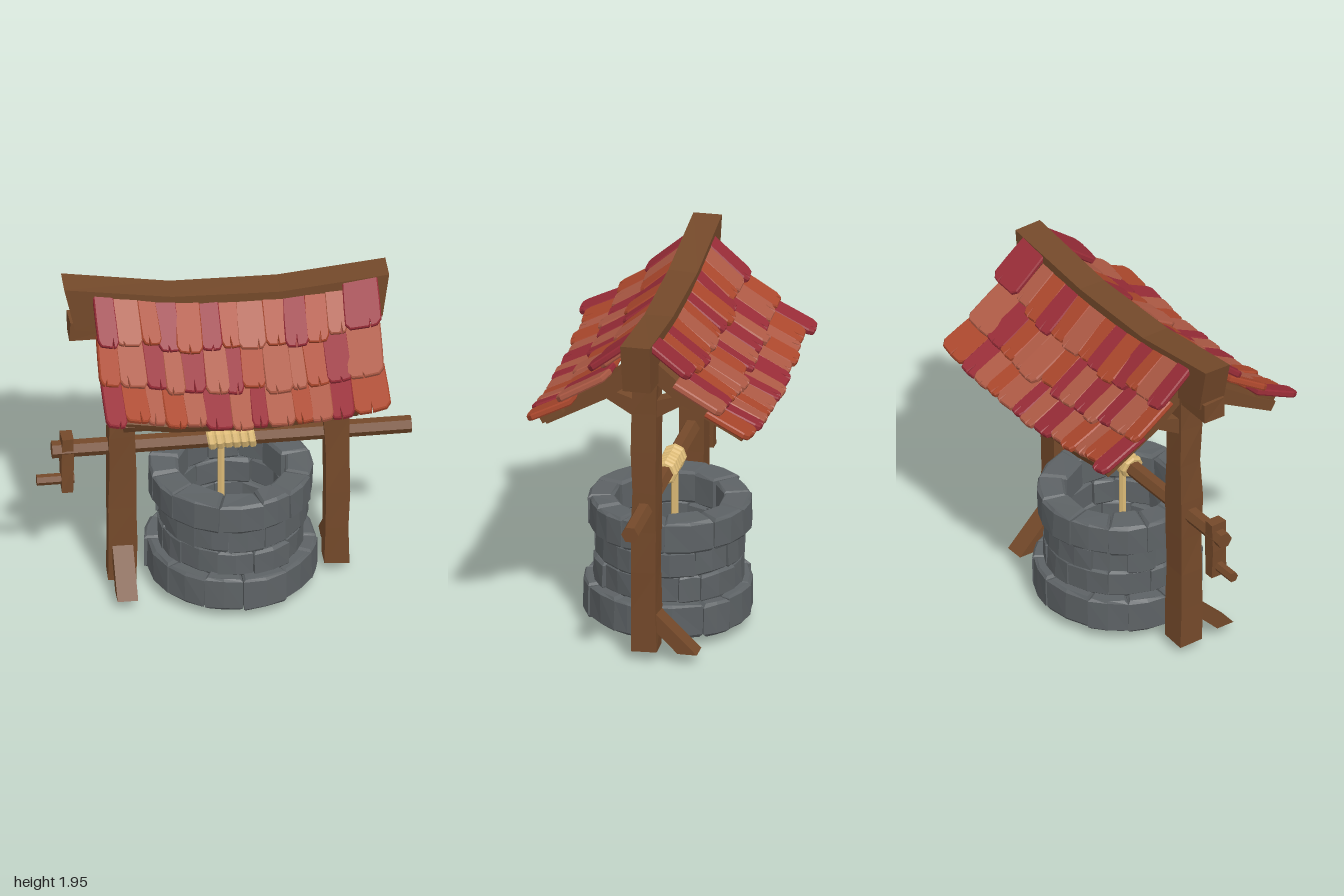
import * as THREE from 'three';

const mat = (name, color) => {
  const m = new THREE.MeshStandardMaterial({ color });
  m.name = name;
  return m;
};

// Seeded random in [-1, 1]
let seed = 7;
const rnd = () => {
  seed = (seed * 16807) % 2147483647;
  return (seed / 2147483647) * 2 - 1;
};
// Repeatable noise by position, so shared corners stay joined
const noise = (x, y, z, k) => {
  const s = Math.sin(Math.round(x * 500) * 12.99 + Math.round(y * 500) * 78.23 + Math.round(z * 500) * 37.72 + k * 5.1) * 43758.55;
  return (s - Math.floor(s)) * 2 - 1;
};

// Faceted normals
const flat = (geo) => {
  const g = geo.index ? geo.toNonIndexed() : geo;
  g.computeVertexNormals();
  return g;
};

// Move every vertex by a rule
function warp(geo, rule) {
  const p = geo.attributes.position;
  const v = new THREE.Vector3();
  for (let i = 0; i < p.count; i++) {
    v.fromBufferAttribute(p, i);
    rule(v);
    p.setXYZ(i, v.x, v.y, v.z);
  }
  return geo;
}

// Copy of a flat geometry reflected in z, with its winding restored
function mirrorZ(geo) {
  const g = geo.clone().scale(1, 1, -1);
  const p = g.attributes.position;
  const a = new THREE.Vector3(), b = new THREE.Vector3();
  for (let i = 0; i < p.count; i += 3) {
    a.fromBufferAttribute(p, i + 1);
    b.fromBufferAttribute(p, i + 2);
    p.setXYZ(i + 1, b.x, b.y, b.z);
    p.setXYZ(i + 2, a.x, a.y, a.z);
  }
  g.computeVertexNormals();
  return g;
}

// Add uneven corners
const roughen = (geo, amount) => warp(geo, (v) => {
  const { x, y, z } = v;
  v.x += noise(x, y, z, 1) * amount;
  v.y += noise(x, y, z, 2) * amount;
  v.z += noise(x, y, z, 3) * amount;
});

// Roughly hewn beam
const hewn = (w, h, d, sx, sy, amount = 0.006) => roughen(new THREE.BoxGeometry(w, h, d, sx, sy, 1), amount);

// Bar with a constant outline in the z-y plane, spanning x0..x1
function sideBar(points, x0, x1) {
  const shape = new THREE.Shape(points.map(([z, y]) => new THREE.Vector2(-z, y)));
  const g = new THREE.ExtrudeGeometry(shape, { depth: x1 - x0, bevelEnabled: false });
  return g.rotateY(Math.PI / 2).translate(x0, 0, 0);
}

// Wall stone: a bevelled ring sector
function stone(r0, r1, a0, a1, h) {
  const b = 0.014, pts = [];
  const arc = (r, from, to, n) => {
    for (let i = 0; i <= n; i++) {
      const a = from + ((to - from) * i) / n;
      pts.push(new THREE.Vector2(Math.cos(a) * r, Math.sin(a) * r));
    }
  };
  const gap = 0.015 / r1, gapIn = 0.015 / r0;
  arc(r1 - b, a0 + gap, a1 - gap, 2);
  arc(r0 + b, a1 - gapIn, a0 + gapIn, 1);
  const g = new THREE.ExtrudeGeometry(new THREE.Shape(pts), {
    depth: h - 2 * b, bevelSize: b, bevelThickness: b, bevelSegments: 1,
  });
  return roughen(g.translate(0, 0, b).rotateX(-Math.PI / 2), 0.004);
}

// Roof sags towards the middle, and its left end stands higher
const sag = (x) => 0.1 * ((x - 0.15) / 0.85) ** 2;

// Chipped shingle hanging down from its top edge
function shingle(w, len) {
  const t = w * 0.48, e = w * 0.5, n = rnd() * 0.25 * w;
  const low = -len + rnd() * 0.012;
  const pts = [[-t, 0], [-e, low * 0.5], [-e, low + 0.03], [-e * 0.75, low + 0.004],
    [n - 0.008, low], [n + rnd() * 0.006, low + 0.045 + rnd() * 0.025], [n + 0.008, low],
    [e * 0.75, low + 0.004], [e, low + 0.03], [e, low * 0.5], [t, 0]];
  return new THREE.ExtrudeGeometry(new THREE.Shape(pts.map(([x, y]) => new THREE.Vector2(x, y))), {
    depth: 0.02, bevelSize: 0.006, bevelThickness: 0.008, bevelSegments: 1,
  });
}

export function createModel() {
  seed = 7;
  const wood = mat('wood', 0x74492a);
  const grey = mat('stone', 0x5d6265);
  const rope = mat('rope', 0xdcba76);
  const tiles = { C: mat('crimson tile', 0x982c37), O: mat('orange tile', 0xab472c), K: mat('coral tile', 0xae5a45) };

  const model = new THREE.Group();
  model.name = 'well';
  const group = (name) => {
    const g = new THREE.Group();
    g.name = name;
    model.add(g);
    return g;
  };
  const add = (parent, name, geo, material) => {
    const m = new THREE.Mesh(flat(geo), material);
    m.name = name;
    parent.add(m);
  };

  // Stone wall: four courses of uneven blocks
  const wall = group('stoneWall');
  [[0.06, 0.19, 0.453], [0.24, 0.155, 0.393], [0.39, 0.155, 0.393], [0.54, 0.175, 0.433]].forEach(([y, h, r], c) => {
    const n = 12;
    const cuts = Array.from({ length: n }, (_, i) => ((i + rnd() * 0.25 + c * 0.45) / n) * Math.PI * 2);
    cuts.push(cuts[0] + Math.PI * 2);
    for (let i = 0; i < n; i++) {
      const g = stone(0.285 + rnd() * 0.012, r + rnd() * 0.012, cuts[i], cuts[i + 1], h + rnd() * 0.006);
      add(wall, 'stone', g.translate(0.042, y, 0), grey);
    }
  });

  // Posts, widening at the foot, each with a slanting foot brace
  const frame = group('frame');
  [[-0.548, 0.05, 1], [0.597, 0.06, -1]].forEach(([x, y0, s]) => {
    const h = 1.66 - y0;
    const g = warp(hewn(0.13, h, 0.135, 1, 7), (v) => {
      if (s > 0) v.x *= 1 + 0.2 * Math.max(0, 0.3 - v.y / h);
    });
    add(frame, 'post', g.translate(x, y0 + h / 2, 0), wood);
    const foot = flat(sideBar([[0.05, 0.19], [0.18, 0.06], [0.285, 0.06], [0.05, 0.29]], x - 0.055, x + 0.055));
    add(frame, 'footBrace', s > 0 ? foot : mirrorZ(foot), wood);
  });

  // Ridge beam, sagging with slanted ends, and the beam below it
  const ridge = warp(hewn(1.73, 0.27, 0.155, 3, 1, 0.004), (v) => {
    const top = 1.84 + 0.11 * ((v.x - 0.115) / 0.98) ** 2;
    if (v.y < 0) v.x = v.x * 0.95 + 0.015;
    v.y += top - 0.135;
  });
  add(frame, 'ridgeBeam', ridge.translate(0.005, 0, 0), wood);
  add(frame, 'lowerBeam', hewn(1.55, 0.11, 0.13, 4, 1, 0.004).translate(-0.055, 1.665, 0), wood);

  // Rafters, braces and eave beams on both slopes
  const rafterLine = [[0, 1.62], [0.07, 1.6], [0.2, 1.5], [0.53, 1.32], [0.56, 1.37], [0.42, 1.455], [0.24, 1.58], [0.04, 1.75], [0, 1.75]];
  const braceLine = [[0.05, 1.40], [0.21, 1.495], [0.2, 1.55], [0.17, 1.54], [0.05, 1.5]];
  for (const x of [-0.548, 0.597]) {
    const rafter = flat(sideBar(rafterLine, x - 0.055, x + 0.055));
    const brace = flat(sideBar(braceLine, x - 0.045, x + 0.045));
    for (const [name, g] of [['rafter', rafter], ['rafterBrace', brace]]) {
      add(frame, name, g, wood);
      add(frame, name, mirrorZ(g), wood);
    }
  }
  const eave = flat(warp(hewn(1.3, 0.06, 0.13, 5, 1, 0.004).rotateX(0.5), (v) => {
    v.x += 0.06;
    v.y += 1.345 + 0.06 * ((v.x - 0.05) / 0.65) ** 2;
    v.z += 0.5;
  }));
  add(frame, 'eaveBeam', eave, wood);
  add(frame, 'eaveBeam', mirrorZ(eave), wood);

  // Roof: three overlapping rows of shingles, mirrored to the back
  const roof = group('roof');
  const rows = [
    { from: [0.06, 1.775], to: [0.25, 1.61], colors: 'CKOCOCOKOCOKC' },
    { from: [0.19, 1.605], to: [0.43, 1.45], colors: 'OKCKCKCOKKOCK' },
    { from: [0.37, 1.455], to: [0.6, 1.335], colors: 'COKOKCKCKOKCO' },
  ];
  rows.forEach(({ from, to, colors }, r) => {
    const len = Math.hypot(to[0] - from[0], to[1] - from[1]);
    const cut = [];
    for (let i = 0; i <= 12; i++) cut.push(-0.705 + i * 0.111 + (i % 12 ? rnd() * 0.02 : 0));
    cut.push(0.81);
    [...colors].forEach((c, i) => {
      const x = (cut[i] + cut[i + 1]) / 2;
      // Sheared to follow the sag while its sides still run straight down the slope
      const X = new THREE.Vector3(1, 0.277 * (x - 0.15), 0);
      const Y = new THREE.Vector3(0, from[1] - to[1], from[0] - to[0]).normalize();
      const Z = X.clone().cross(Y).normalize();
      const lift = r === 0 && i === 12 ? 0.04 : 0;
      const g = shingle(cut[i + 1] - cut[i], len + rnd() * 0.018)
        .rotateZ(rnd() * 0.05).rotateX(rnd() * 0.03 - 0.03).rotateY(rnd() * 0.07)
        .applyMatrix4(new THREE.Matrix4().makeBasis(X, Y, Z))
        .translate(x, from[1] + sag(x) + lift, from[0]);
      const tile = flat(g);
      add(roof, 'shingle', tile, tiles[c]);
      add(roof, 'shingle', mirrorZ(tile), tiles[c]);
    });
  });

  // Hexagonal axle with crank arm and handle
  const winch = group('winch');
  const hexBar = (r, x0, x1, y) => new THREE.CylinderGeometry(r, r, x1 - x0, 6)
    .rotateZ(Math.PI / 2).translate((x0 + x1) / 2, y, 0);
  add(winch, 'axle', hexBar(0.047, -0.92, 1, 0.875), wood);
  add(winch, 'crankArm', hewn(0.062, 0.335, 0.09, 1, 2, 0.004).translate(-0.84, 0.79, 0), wood);
  add(winch, 'crankHandle', hexBar(0.03, -1, -0.8, 0.685), wood);

  // Rope wound round the axle as a ribbed sleeve, and hanging into the well
  const ribs = [new THREE.Vector2(0.04, -0.128)];
  for (let i = 0; i < 6; i++) {
    const y = -0.128 + i * 0.043, r = 0.064 + rnd() * 0.003;
    ribs.push(new THREE.Vector2(0.055, y), new THREE.Vector2(r, y + 0.01), new THREE.Vector2(r, y + 0.031));
  }
  ribs.push(new THREE.Vector2(0.055, 0.128), new THREE.Vector2(0.04, 0.128));
  const coil = warp(new THREE.LatheGeometry(ribs, 8), (v) => { v.y += v.x * 0.15; });
  add(winch, 'ropeCoil', coil.rotateZ(-Math.PI / 2).translate(0.037, 0.879, 0), rope);
  add(winch, 'hangingRope', new THREE.CylinderGeometry(0.02, 0.02, 0.86, 6).translate(-0.013, 0.43, -0.015), rope);

  return model;
}
